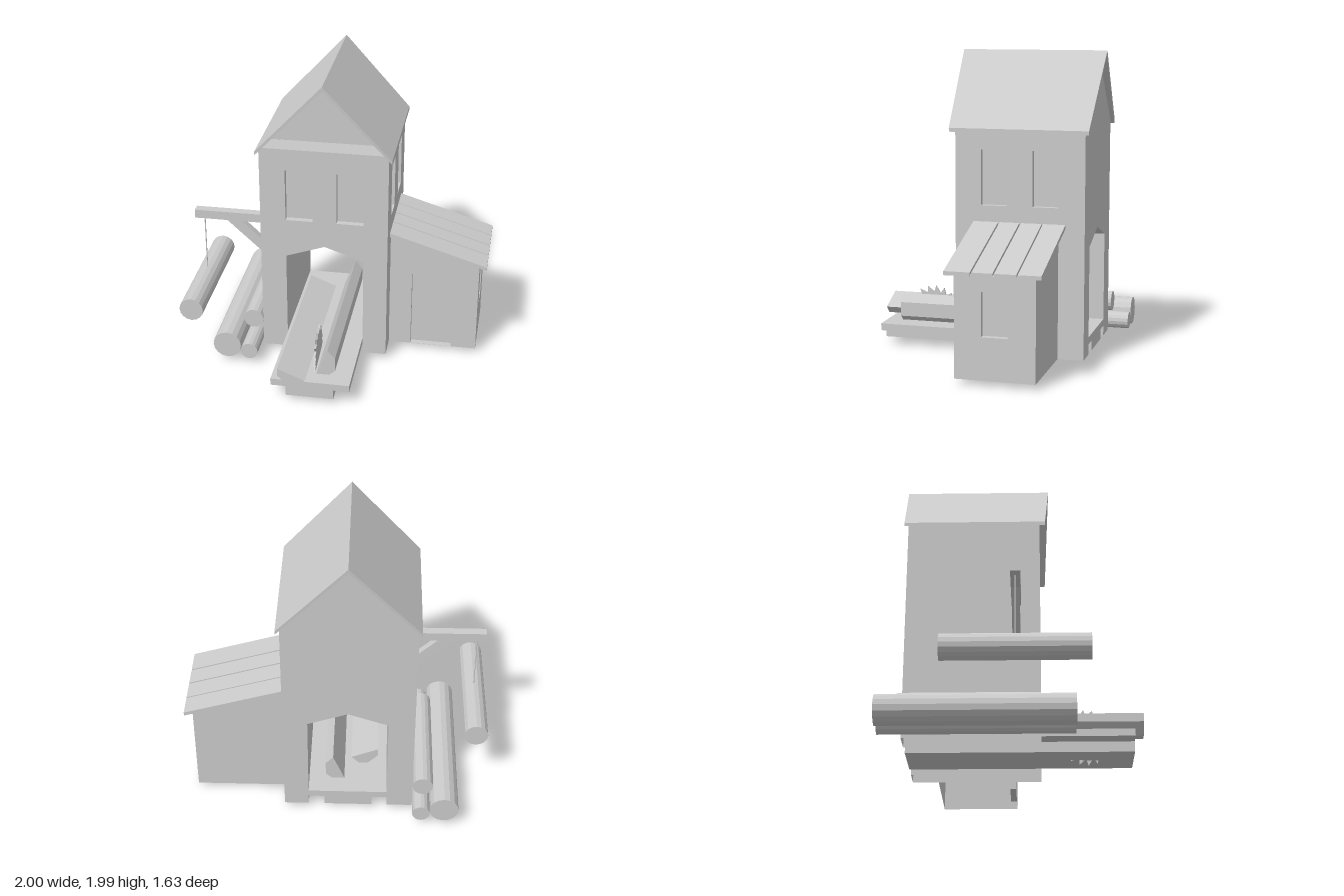
import * as THREE from 'three';

const mat = new THREE.MeshStandardMaterial({ color: 0xcccccc, flatShading: true });
const thin = new THREE.MeshStandardMaterial({ color: 0xcccccc, flatShading: true, side: THREE.DoubleSide });

const shapeOf = pts => new THREE.Shape(pts.map(p => new THREE.Vector2(p[0], p[1])));

function add(parent, name, geo, material = mat) {
  const mesh = new THREE.Mesh(geo, material);
  mesh.name = name;
  parent.add(mesh);
  return mesh;
}

// Box given by its limits
function block(parent, name, x0, x1, y0, y1, z0, z1) {
  const mesh = add(parent, name, new THREE.BoxGeometry(x1 - x0, y1 - y0, z1 - z0));
  mesh.position.set((x0 + x1) / 2, (y0 + y1) / 2, (z0 + z1) / 2);
  return mesh;
}

// Profile in x/y drawn out from z0 to z1
function prism(parent, name, pts, z0, z1) {
  const geo = new THREE.ExtrudeGeometry(shapeOf(pts), { depth: z1 - z0, bevelEnabled: false });
  geo.translate(0, 0, z0);
  return add(parent, name, geo);
}

// Flat wall with recessed openings, each [u0, u1, v0, v1]
function wall(parent, name, pts, openings = []) {
  const group = new THREE.Group();
  group.name = name;
  const shape = shapeOf(pts);
  const depth = 0.04;
  for (const [u0, u1, v0, v1] of openings) {
    shape.holes.push(new THREE.Path([[u0, v0], [u0, v1], [u1, v1], [u1, v0]].map(p => new THREE.Vector2(...p))));
    // open-fronted box: drop its +z face
    const box = new THREE.BoxGeometry(u1 - u0, v1 - v0, depth);
    const index = Array.from(box.index.array);
    index.splice(24, 6);
    box.setIndex(index);
    box.translate((u0 + u1) / 2, (v0 + v1) / 2, -depth / 2);
    add(group, 'recess', box, thin);
  }
  add(group, 'panel', new THREE.ShapeGeometry(shape), thin);
  parent.add(group);
  return group;
}

// Wall facing +x, with u running along -z
function sideWall(parent, name, x, pts, openings) {
  const group = wall(parent, name, pts, openings);
  group.rotation.y = Math.PI / 2;
  group.position.x = x;
  return group;
}

// Open sheet following a profile; each point is [x, y, zBack, zFront]
function sheet(parent, name, pts) {
  const pos = [];
  for (let i = 0; i < pts.length - 1; i++) {
    const [x, y, b, f] = pts[i], [X, Y, B, F] = pts[i + 1];
    pos.push(x, y, b, x, y, f, X, Y, F, x, y, b, X, Y, F, X, Y, B);
  }
  const geo = new THREE.BufferGeometry();
  geo.setAttribute('position', new THREE.Float32BufferAttribute(pos, 3));
  geo.computeVertexNormals();
  return add(parent, name, geo, thin);
}

function log(parent, name, x, y, r, z0, z1) {
  const geo = new THREE.CylinderGeometry(r, r, z1 - z0, 16);
  geo.rotateX(Math.PI / 2);
  add(parent, name, geo).position.set(x, y, (z0 + z1) / 2);
}

const rect = (u0, u1, v0, v1) => [[u0, v0], [u1, v0], [u1, v1], [u0, v1]];

function buildTower(parent) {
  const tower = new THREE.Group();
  tower.name = 'tower';
  parent.add(tower);
  const back = -0.68, front = 0.17, base = 0.04;
  const arch = [[-0.33, base], [-0.33, 0.75], [-0.07, 0.84], [0.19, 0.75], [0.19, base]];
  const legs = [[-0.5, base], ...arch, [0.35, base]];

  wall(tower, 'frontWall', [...legs, [0.35, 1.51], [0.335, 1.53], [-0.475, 1.53], [-0.5, 1.51]],
    [[-0.33, -0.15, 1.02, 1.38], [0.01, 0.19, 1.02, 1.38]]).position.z = front;
  wall(tower, 'backWall', [...legs, [0.35, 1.51], [-0.07, 1.97], [-0.5, 1.51]]).position.z = back;
  sideWall(tower, 'rightWindowWall', 0.35, rect(-front, -back, base, 1.51),
    [[0, 0.17, 1.02, 1.38], [0.34, 0.51, 1.02, 1.38]]);
  sideWall(tower, 'plainSideWall', -0.5, rect(-front, -back, base, 1.51));
  sheet(tower, 'archTunnel', arch.map(p => [...p, back, front]));

  // Slightly set back gable above a sloping ledge
  wall(tower, 'frontGable', [[-0.42, 1.59], [0.28, 1.59], [-0.07, 1.97]]).position.z = 0.15;
  wall(tower, 'gableLedge', [[-0.475, 0], [0.335, 0], [0.28, 0.063], [-0.42, 0.063]])
    .position.set(0, 1.53, front);
  tower.getObjectByName('gableLedge').rotation.x = -Math.atan2(0.02, 0.06);

  // Roof flares outward towards the ridge
  const roof = prism(tower, 'roof', [[-0.52, 1.49], [-0.07, 1.97], [0.375, 1.49], [0.375, 1.515],
    [-0.07, 2.0], [-0.52, 1.515]], -1, 1);
  const p = roof.geometry.attributes.position;
  for (let i = 0; i < p.count; i++) {
    const half = 0.455 + 0.028 * (p.getY(i) - 1.5) / 0.5;
    p.setZ(i, -0.25 + Math.sign(p.getZ(i)) * half);
  }
  roof.geometry.computeVertexNormals();
}

function buildShed(parent) {
  const shed = new THREE.Group();
  shed.name = 'shed';
  parent.add(shed);
  const outline = [[0.35, 0.04], [0.95, 0.04], [0.95, 0.705], [0.35, 0.89]];
  const doorway = [[0.35, 0.04], [0.95, 0.04], [0.95, 0.705], [0.35, 0.89]];
  wall(shed, 'shedFront', doorway, [[0.5, 0.78, 0.041, 0.59]]);
  wall(shed, 'shedBack', outline).position.z = -0.51;
  sideWall(shed, 'shedSide', 0.95, rect(0, 0.51, 0.04, 0.705), [[0.17, 0.34, 0.31, 0.59]]);

  // Four sloping roof boards with narrow gaps
  const slope = [[0.35, 0.888], [1.0, 0.69], [1.0, 0.715], [0.35, 0.915]];
  for (const [z0, z1] of [[-0.555, -0.41], [-0.402, -0.265], [-0.255, -0.125], [-0.115, 0.05]]) {
    prism(shed, 'roofBoard', slope, z0, z1);
  }
  prism(shed, 'roofUnderlay', [[0.35, 0.886], [0.99, 0.691], [0.99, 0.698], [0.35, 0.893]], -0.54, 0.04);
}

function buildSawBench(parent) {
  const bench = new THREE.Group();
  bench.name = 'sawBench';
  parent.add(bench);
  block(bench, 'benchTop', -0.33, 0.19, 0.108, 0.155, -0.68, 0.75);
  block(bench, 'benchBase', -0.23, 0.085, 0.04, 0.108, -0.68, 0.75);

  // Toothed disc with slanted teeth
  const teeth = 20, pts = [];
  for (let i = 0; i < teeth; i++) {
    const a = i / teeth * Math.PI * 2;
    pts.push([0.145 * Math.cos(a), 0.145 * Math.sin(a)]);
    pts.push([0.188 * Math.cos(a + 0.24), 0.188 * Math.sin(a + 0.24)]);
  }
  const blade = prism(bench, 'sawBlade', pts, -0.006, 0.006);
  blade.rotation.y = Math.PI / 2 + 0.04;
  blade.position.set(-0.067, 0.193, 0.453);

  // Two halves of a split log
  prism(bench, 'sawnHalf', [[-0.27, 0.28], [-0.27, 0.225], [-0.2, 0.155], [-0.14, 0.155], [-0.09, 0.205]], -0.4, 0.81);
  prism(bench, 'sawnHalf', [[-0.045, 0.155], [0.04, 0.155], [0.08, 0.19], [0.08, 0.285], [0.03, 0.34]], -0.55, 0.645);
}

function buildHoist(parent) {
  const hoist = new THREE.Group();
  hoist.name = 'hoist';
  parent.add(hoist);
  block(hoist, 'beam', -0.98, -0.5, 0.92, 0.98, -0.01, 0.05);
  prism(hoist, 'brace', [[-0.76, 0.92], [-0.5, 0.68], [-0.5, 0.77], [-0.66, 0.92]], -0.005, 0.045);
  add(hoist, 'rope', new THREE.CylinderGeometry(0.004, 0.004, 0.4, 6)).position.set(-0.92, 0.725, 0.02);
  log(hoist, 'hangingLog', -0.92, 0.45, 0.08, -0.43, 0.47);
}

export function createModel() {
  const model = new THREE.Group();
  model.name = 'sawmill';
  buildTower(model);
  buildShed(model);
  buildSawBench(model);
  buildHoist(model);

  // Log pile beside the tower
  log(model, 'largeLog', -0.708, 0.14, 0.095, -0.82, 0.38);
  log(model, 'smallLog', -0.557, 0.103, 0.058, -0.82, 0.38);
  log(model, 'upperLog', -0.568, 0.233, 0.068, -0.7, 0.17);
  return model;
}
